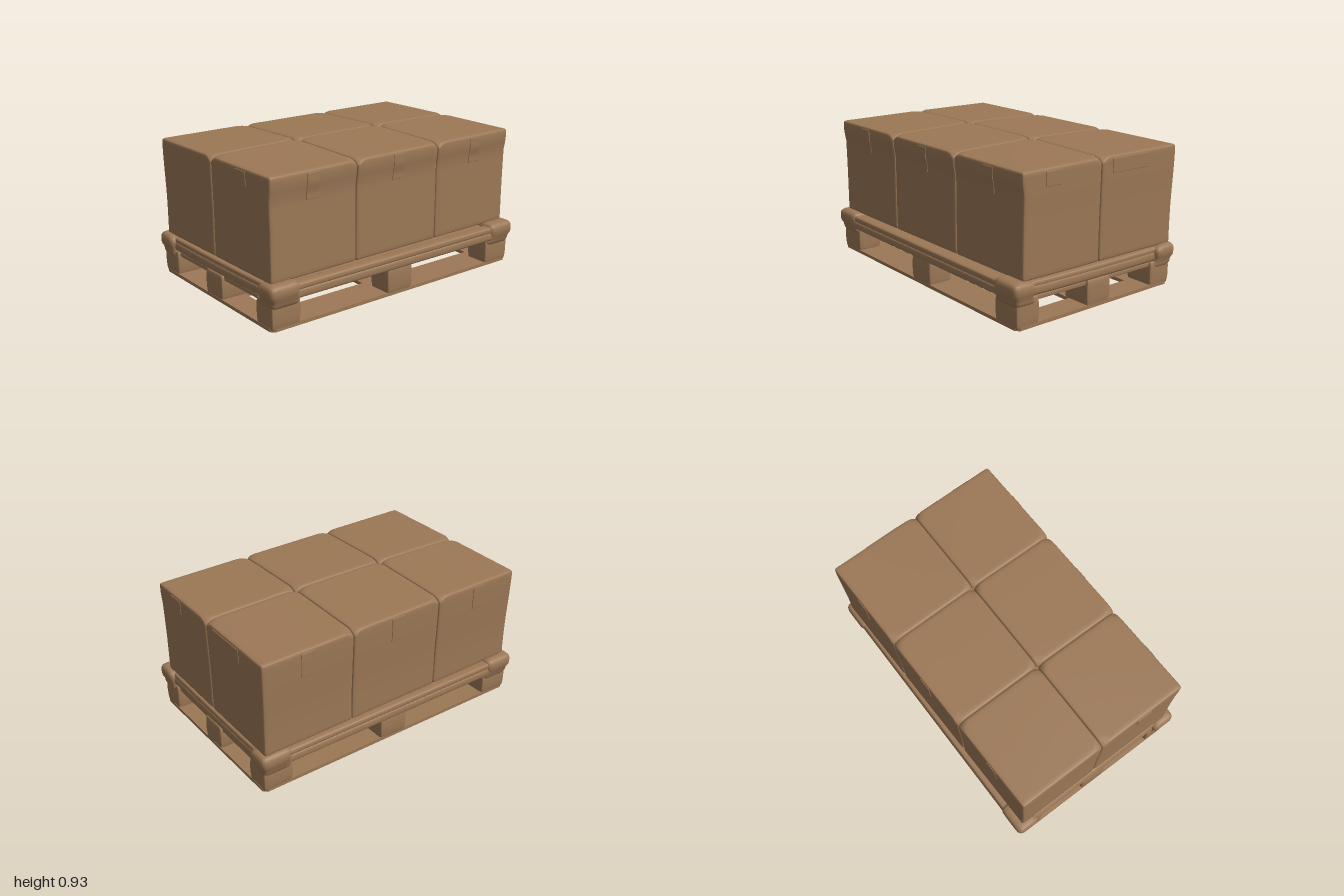
import * as THREE from 'three';
import { mergeVertices } from 'three/addons/utils/BufferGeometryUtils.js';

const brown = new THREE.MeshStandardMaterial({ color: 0x9c7856 });
brown.name = 'cardboard brown';

const { smoothstep, clamp } = THREE.MathUtils;

// Smooth rounded box between two corners; an optional rule then bends it
function softBox(name, [x0, y0, z0], [x1, y1, z1], r, n = 8, bend = null) {
  const half = new THREE.Vector3(x1 - x0, y1 - y0, z1 - z0).multiplyScalar(0.5);
  const centre = new THREE.Vector3(x0 + x1, y0 + y1, z0 + z1).multiplyScalar(0.5);
  const inner = half.clone().subScalar(r);
  let geo = new THREE.BoxGeometry(2, 2, 2, n, n, n);
  geo.deleteAttribute('normal');
  geo.deleteAttribute('uv');
  geo = mergeVertices(geo);
  const pos = geo.attributes.position;
  const p = new THREE.Vector3(), q = new THREE.Vector3();
  const crowd = t => Math.sign(t) * (1 - (1 - Math.abs(t)) ** 2);
  for (let i = 0; i < pos.count; i++) {
    p.fromBufferAttribute(pos, i);
    p.set(crowd(p.x), crowd(p.y), crowd(p.z)).multiply(half);
    q.copy(p).clamp(inner.clone().negate(), inner);
    p.sub(q).setLength(r).add(q).add(centre);
    if (bend) bend(p);
    pos.setXYZ(i, p.x, p.y, p.z);
  }
  geo.computeVertexNormals();
  const mesh = new THREE.Mesh(geo, brown);
  mesh.name = name;
  return mesh;
}

// Carton grid lines, and the places where corners meet and the top dips
const xs = [-0.612, -0.015, 0.58], zs = [-0.965, -0.33, 0.33, 0.96];
const pits = [[xs[1], zs[0]], [xs[1], zs[3]]];
for (const z of [zs[1], zs[2]]) for (const x of xs) pits.push([x, z]);

// Tops crown gently to the middle, upper walls lean outward, the stack skews a little
function cartonBend(p) {
  const up = smoothstep(p.y, 0.3, 0.9);
  const lip = p.x > 0 ? smoothstep(p.y, 0.77, 0.85) : smoothstep(p.y, 0.4, 0.9);
  const out = clamp(Math.abs(p.x) / 0.6, 0, 1);
  const top = smoothstep(p.y, 0.87, 0.91);
  for (const [x, z] of pits) {
    p.y -= 0.03 * top * Math.max(0, 1 - Math.hypot(p.x - x, p.z - z) / 0.045);
  }
  p.y += up * 0.014 * (1 - out) * (1 - 0.9 * p.z ** 2);
  p.x += Math.sign(p.x) * 0.014 * lip * out ** 3 + 0.014 * p.z * out;
  p.z += Math.sign(p.z) * 0.007 * smoothstep(p.y, 0.5, 0.9) * Math.abs(p.z) ** 3;
}

function buildLoad() {
  const load = new THREE.Group();
  load.name = 'cartonLoad';
  for (let i = 0; i < 2; i++) for (let k = 0; k < 3; k++) {
    load.add(softBox('carton', [xs[i], 0.28, zs[k]], [xs[i + 1], 0.917, zs[k + 1]], 0.018, 18, cartonBend));
  }
  // Filling that closes the seams between cartons
  load.add(softBox('packing', [-0.06, 0.29, -0.95], [0.03, 0.885, 0.945], 0.008, 4));
  for (const z of [-0.33, 0.33]) {
    load.add(softBox('packing', [-0.597, 0.29, z - 0.04], [0.565, 0.88, z + 0.04], 0.008, 4));
  }
  // Tape tabs below the top edges, following the lean of the walls
  const tape = (name, a, b) => load.add(softBox(name, a, b, 0.003, 18, cartonBend));
  for (const z of [-0.66, 0, 0.66]) {
    tape('sideTape', [0.575, 0.74, z - 0.045], [0.584, 0.9, z + 0.045]);
    tape('sideTape', [-0.616, 0.74, z - 0.045], [-0.607, 0.9, z + 0.045]);
  }
  tape('frontTape', [0.25, 0.81, 0.955], [0.355, 0.9, 0.964]);
  tape('backTape', [0.3, 0.81, -0.969], [0.42, 0.9, -0.96]);
  tape('backTape', [-0.38, 0.81, -0.969], [-0.1, 0.9, -0.96]);
  return load;
}

// The whole underside stands slightly lower on its left
const tilt = x => 0.008 - 0.0128 * x;

function buildPallet() {
  const pallet = new THREE.Group();
  pallet.name = 'pallet';
  const add = (...args) => pallet.add(softBox(...args));

  add('deck', [-0.59, 0.175, -0.94], [0.59, 0.262, 0.94], 0.01, 6);

  // Rounded double lips around the deck, sagging toward the middle
  const sag = p => { p.y -= 0.006 * (1 - Math.min(1, (p.x / 0.6) ** 2)); };
  for (const s of [-1, 1]) {
    const xa = s < 0 ? -0.64 : 0.56, za = s < 0 ? -0.972 : 0.9;
    add('sideLowerLip', [xa, 0.175, -0.95], [xa + 0.08, 0.235, 0.95], 0.02, 8);
    add('sideUpperLip', [xa + 0.002, 0.225, -0.95], [xa + 0.078, 0.27, 0.95], 0.018, 8);
    add('endLowerLip', [-0.6, 0.185, za], [0.6, 0.255, za + 0.072], 0.026, 10, sag);
    add('endUpperLip', [-0.6, 0.235, za + 0.004], [0.6, 0.276, za + 0.066], 0.018, 10, sag);
  }

  // Cross boards above the blocks
  for (const z of [-0.87, 0, 0.87]) {
    add('crossBoard', [-0.6, 0.15, z - 0.085], [0.6, 0.182, z + 0.085], 0.008, 6);
  }

  // Nine blocks, with swollen caps on the four corners
  for (const x of [-1, 0, 1]) for (const z of [-1, 0, 1]) {
    const cx = x * 0.535 - (x ? 0 : 0.012), cz = z * 0.873;
    const w = x ? 0.08 : 0.09, d = 0.1;
    const barrel = p => {
      const t = 0.08 * (1 - ((p.y - 0.1) / 0.09) ** 2);
      p.y += tilt(p.x) * (1 - smoothstep(p.y, 0, 0.15));
      p.x += (p.x - cx) * t;
      p.z += (p.z - cz) * t * 0.5;
    };
    add('block', [cx - w, 0.003, cz - d], [cx + w, 0.187, cz + d], 0.018, 8, barrel);
    if (x && z) {
      const a = [x * 0.652, x * 0.485], b = [z, z * 0.785];
      // narrow lower lobe, a soft waist, and a top sloping down inward
      const waist = p => {
        const low = 1 - smoothstep(p.y, 0.15, 0.21);
        const pinch = 0.1 * Math.exp(-(((p.y - 0.19) / 0.018) ** 2));
        p.y -= 0.012 * smoothstep(p.y, 0.2, 0.28) * (1 - smoothstep(Math.abs(p.x), 0.485, 0.56));
        p.x = p.x * (1 - 0.03 * low) - (p.x - x * 0.57) * pinch;
        p.z = p.z * (1 - 0.015 * low) - (p.z - z * 0.9) * pinch;
      };
      add('cornerCap', [Math.min(...a), 0.132, Math.min(...b)], [Math.max(...a), 0.289, Math.max(...b)],
        0.04, 12, waist);
    }
  }

  // Thin bottom skid frame with four windows
  const points = list => list.map(([x, y]) => new THREE.Vector2(x, y));
  const outline = new THREE.Shape(points([
    [-0.59, -0.975], [0.59, -0.975], [0.615, -0.95], [0.615, 0.95],
    [0.59, 0.975], [-0.59, 0.975], [-0.615, 0.95], [-0.615, -0.95],
  ]));
  for (const sx of [-1, 1]) for (const sz of [-1, 1]) {
    outline.holes.push(new THREE.Path(points([[0.08, 0.12], [0.39, 0.12], [0.39, 0.81], [0.08, 0.81]]
      .map(([x, y]) => [sx * x, sz * y]))));
  }
  const skidGeo = new THREE.ExtrudeGeometry(outline, { depth: 0.022, bevelEnabled: false });
  skidGeo.rotateX(-Math.PI / 2);
  const pos = skidGeo.attributes.position;
  for (let i = 0; i < pos.count; i++) pos.setY(i, pos.getY(i) + tilt(pos.getX(i)));
  skidGeo.computeVertexNormals();
  const skid = new THREE.Mesh(skidGeo, brown);
  skid.name = 'bottomSkid';
  pallet.add(skid);
  return pallet;
}

export function createModel() {
  const model = new THREE.Group();
  model.name = 'loadedPallet';
  model.add(buildPallet(), buildLoad());
  return model;
}
